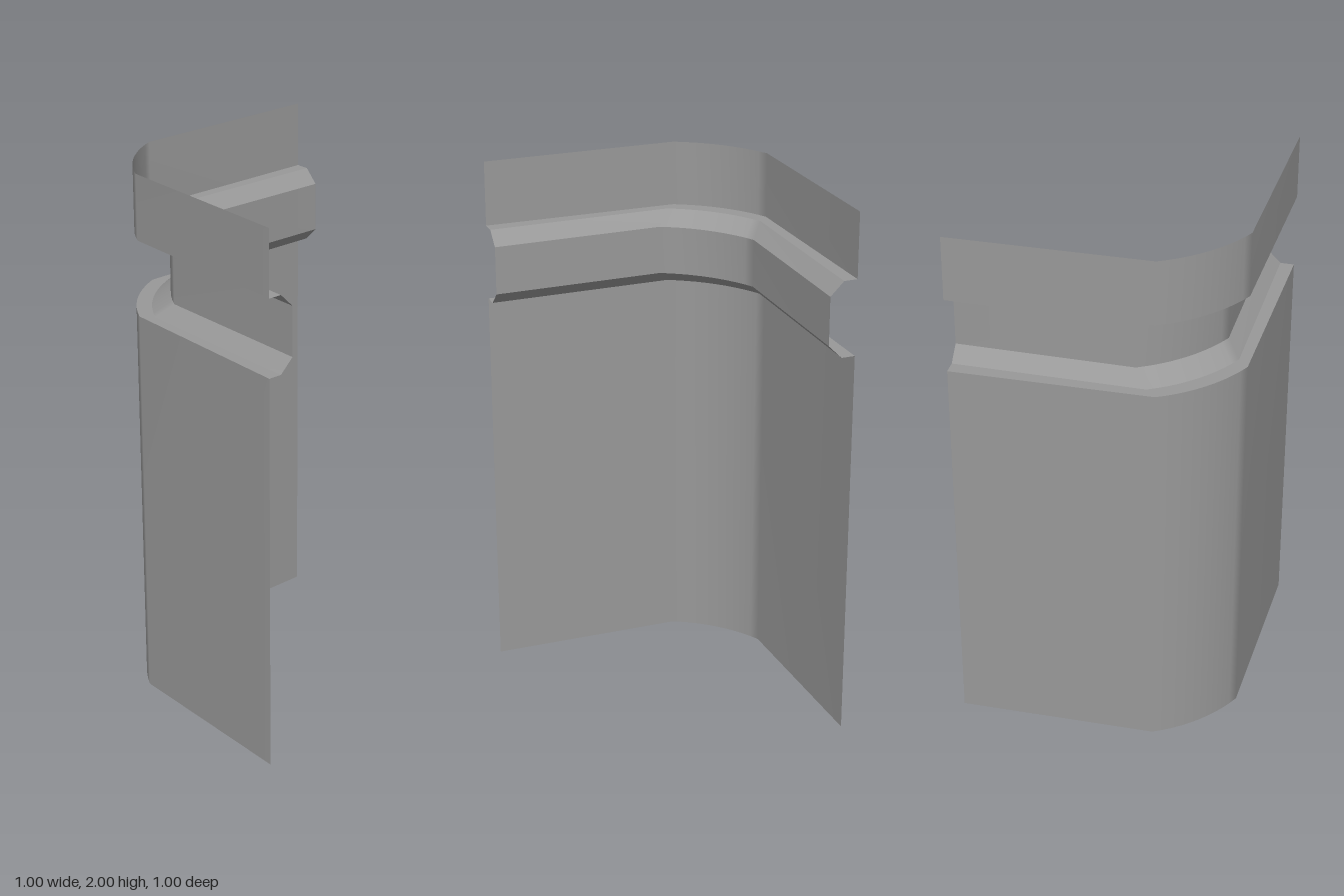
import * as THREE from 'three';

const ARC_STEPS = 10;
const BULGE = 0.03; // rise of the corner arc over its chord

// Plans of the L-shaped sheet: wall end at [-end, 0.5], arc start at [-near, -far]
const OUTER = { end: 0.5, near: 0.48, far: 0.22 };
const MIDDLE = { end: 0.45, near: 0.442, far: 0.18 };
const INNER = { end: 0.4, near: 0.394, far: 0.132 };

// Points [x, z] along a plan, mirrored about the corner diagonal
function planPath({ end, near, far }) {
  const chord = Math.SQRT2 * (near - far);
  const radius = (chord * chord / 4 + BULGE * BULGE) / (2 * BULGE);
  const half = Math.asin(chord / 2 / radius);
  // Arc centre lies on the diagonal, towards the open side
  const c = -(near + far) / 2 + (radius - BULGE) / Math.SQRT2;
  const points = [[-end, 0.5]];
  for (let i = 0; i <= ARC_STEPS; i++) {
    const a = Math.PI * 1.25 + half * (2 * i / ARC_STEPS - 1);
    points.push([c + radius * Math.cos(a), c + radius * Math.sin(a)]);
  }
  points.push([0.5, -end]);
  return points;
}

// One strip between two profile points [plan, height]; smooth along the path
function strip([plan0, y0], [plan1, y1]) {
  const low = planPath(plan0), high = planPath(plan1);
  const positions = [], index = [];
  low.forEach(([x, z], i) => {
    positions.push(x, y0, z, high[i][0], y1, high[i][1]);
    if (i > 0) {
      const a = 2 * (i - 1);
      index.push(a, a + 1, a + 2, a + 2, a + 1, a + 3);
    }
  });
  const geometry = new THREE.BufferGeometry();
  geometry.setAttribute('position', new THREE.Float32BufferAttribute(positions, 3));
  geometry.setIndex(index);
  geometry.computeVertexNormals();
  return geometry;
}

export function createModel() {
  const group = new THREE.Group();
  group.name = 'cornerWall';
  const material = new THREE.MeshStandardMaterial({ color: 0x999999, side: THREE.DoubleSide });

  // Wall profile from the foot up, with a recessed groove below the top
  const profile = [
    [OUTER, 0], [OUTER, 1.48], [MIDDLE, 1.48], [INNER, 1.53],
    [INNER, 1.71], [MIDDLE, 1.76], [OUTER, 1.76], [OUTER, 2],
  ];
  const names = ['lowerWall', 'lowerLedge', 'lowerBevel', 'grooveBack',
    'upperBevel', 'upperLedge', 'upperWall'];
  names.forEach((name, i) => {
    const mesh = new THREE.Mesh(strip(profile[i], profile[i + 1]), material);
    mesh.name = name;
    group.add(mesh);
  });
  return group;
}
